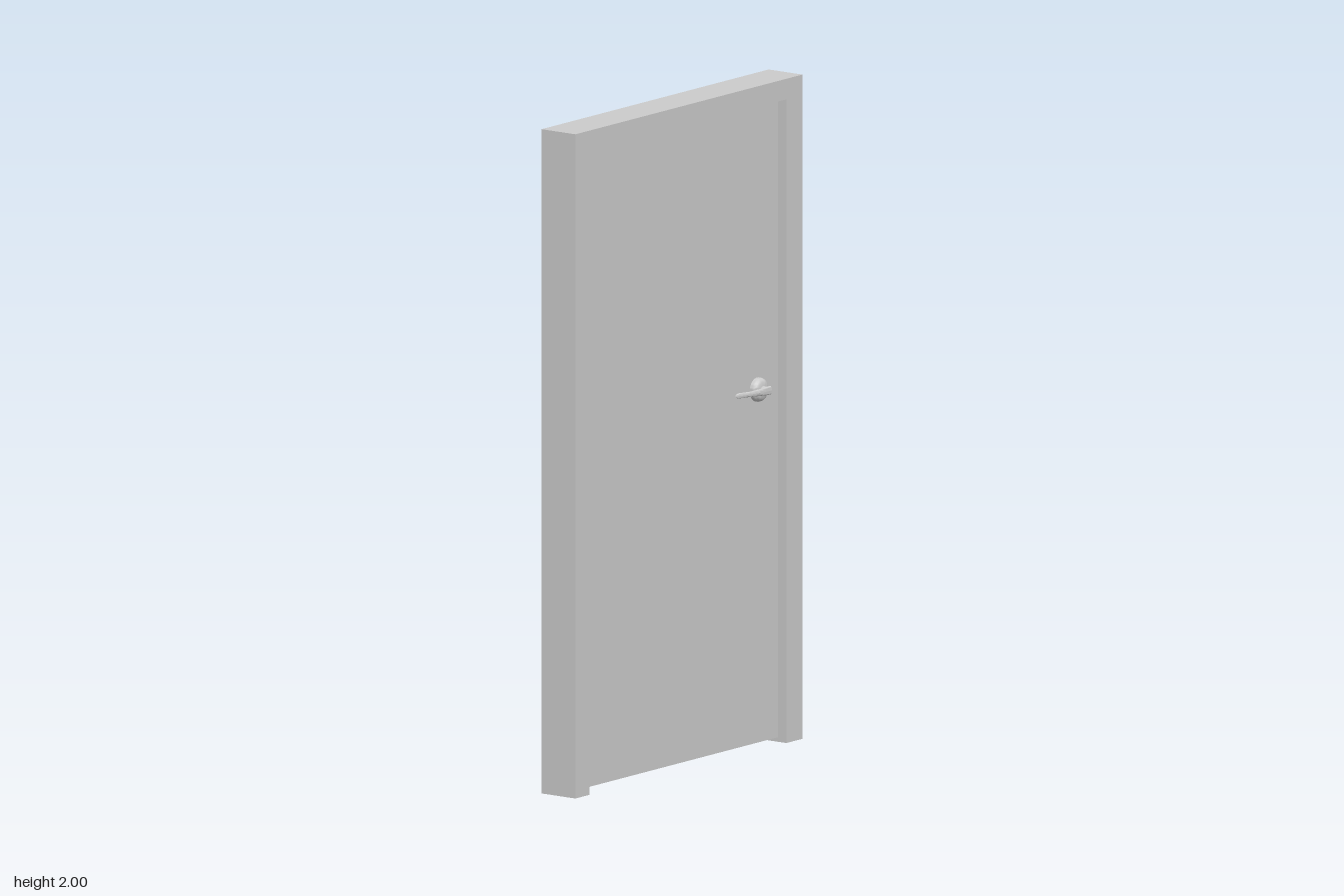
import * as THREE from 'three';
import { toCreasedNormals } from 'three/addons/utils/BufferGeometryUtils.js';

const material = new THREE.MeshStandardMaterial({ color: 0xcccccc });

function part(name, geometry) {
  const mesh = new THREE.Mesh(geometry, material);
  mesh.name = name;
  return mesh;
}

// Tapered, curved grip: a tube whose rings are rescaled along the path and closed at the ends
function leverGeometry() {
  const path = new THREE.CatmullRomCurve3([
    [0.038, -0.014], [0.036, 0.02], [0.029, 0.065], [0.018, 0.103], [0.011, 0.122],
  ].map(([x, z]) => new THREE.Vector3(x, 0, z)));
  const rings = 24, sides = 16;
  const geometry = new THREE.TubeGeometry(path, rings, 1, sides);
  const pos = geometry.attributes.position;
  const p = new THREE.Vector3();
  for (let i = 0; i <= rings; i++) {
    const t = i / rings;
    const centre = path.getPointAt(t);
    const end = i === 0 ? 0 : Math.sqrt(Math.min(1, (1 - t) / 0.08));
    const thick = THREE.MathUtils.lerp(0.007, 0.004, t) * end;
    const high = THREE.MathUtils.lerp(0.0135, 0.008, Math.min(1, t * 1.6)) * end;
    for (let j = 0; j <= sides; j++) {
      const k = i * (sides + 1) + j;
      p.fromBufferAttribute(pos, k).sub(centre);
      p.set(p.x * thick, p.y * high, p.z * thick);
      // the second ring sits on the root plane so the butt end is flat
      p.add(i === 1 ? path.getPointAt(0) : centre);
      pos.setXYZ(k, p.x, p.y, p.z);
    }
  }
  return toCreasedNormals(geometry, 0.7);
}

// Handle set pointing out along +x from the door face
function makeHandle(name) {
  const handle = new THREE.Group();
  handle.name = name;
  const profile = [[0.036, 0], [0.036, 0.008], [0.034, 0.014], [0.030, 0.019], [0.024, 0.0225], [0, 0.0225]]
    .map(([r, h]) => new THREE.Vector2(r, h));
  const rose = toCreasedNormals(new THREE.LatheGeometry(profile, 40).rotateZ(-Math.PI / 2), 0.6);
  const spindle = new THREE.CylinderGeometry(0.0125, 0.0125, 0.037, 24)
    .rotateZ(Math.PI / 2).translate(0.0185, 0, 0);
  handle.add(part('rose', rose), part('spindle', spindle), part('lever', leverGeometry()));
  return handle;
}

export function createModel() {
  const model = new THREE.Group();
  model.name = 'door';

  // Frame: two jambs and a head in one outline, extruded through the wall depth
  const [outer, inFront, inBack, head] = [0.5535, 0.484, 0.475, 1.938];
  const outline = new THREE.Shape([
    [-outer, 0], [-inFront, 0], [-inFront, head], [inBack, head],
    [inBack, 0], [outer, 0], [outer, 2], [-outer, 2],
  ].map(([x, y]) => new THREE.Vector2(x, y)));
  const frame = new THREE.ExtrudeGeometry(outline, { depth: 0.125, bevelEnabled: false });
  frame.rotateY(Math.PI / 2).translate(-0.06, 0, 0);
  model.add(part('frame', frame));

  // Door leaf, recessed on both faces and clear of the floor
  const bottom = 0.014, faceLeft = 0.035, faceRight = -0.038;
  const leaf = new THREE.BoxGeometry(faceLeft - faceRight, head - bottom, inFront + inBack);
  leaf.translate((faceLeft + faceRight) / 2, (head + bottom) / 2, (inFront - inBack) / 2);
  model.add(part('doorLeaf', leaf));

  // One handle per face, the second turned to the other side
  const left = makeHandle('leftHandle');
  left.position.set(faceLeft, 1.078, -0.372);
  const right = makeHandle('rightHandle');
  right.position.set(faceRight, 1.078, -0.372);
  right.rotation.z = Math.PI;
  model.add(left, right);

  return model;
}
